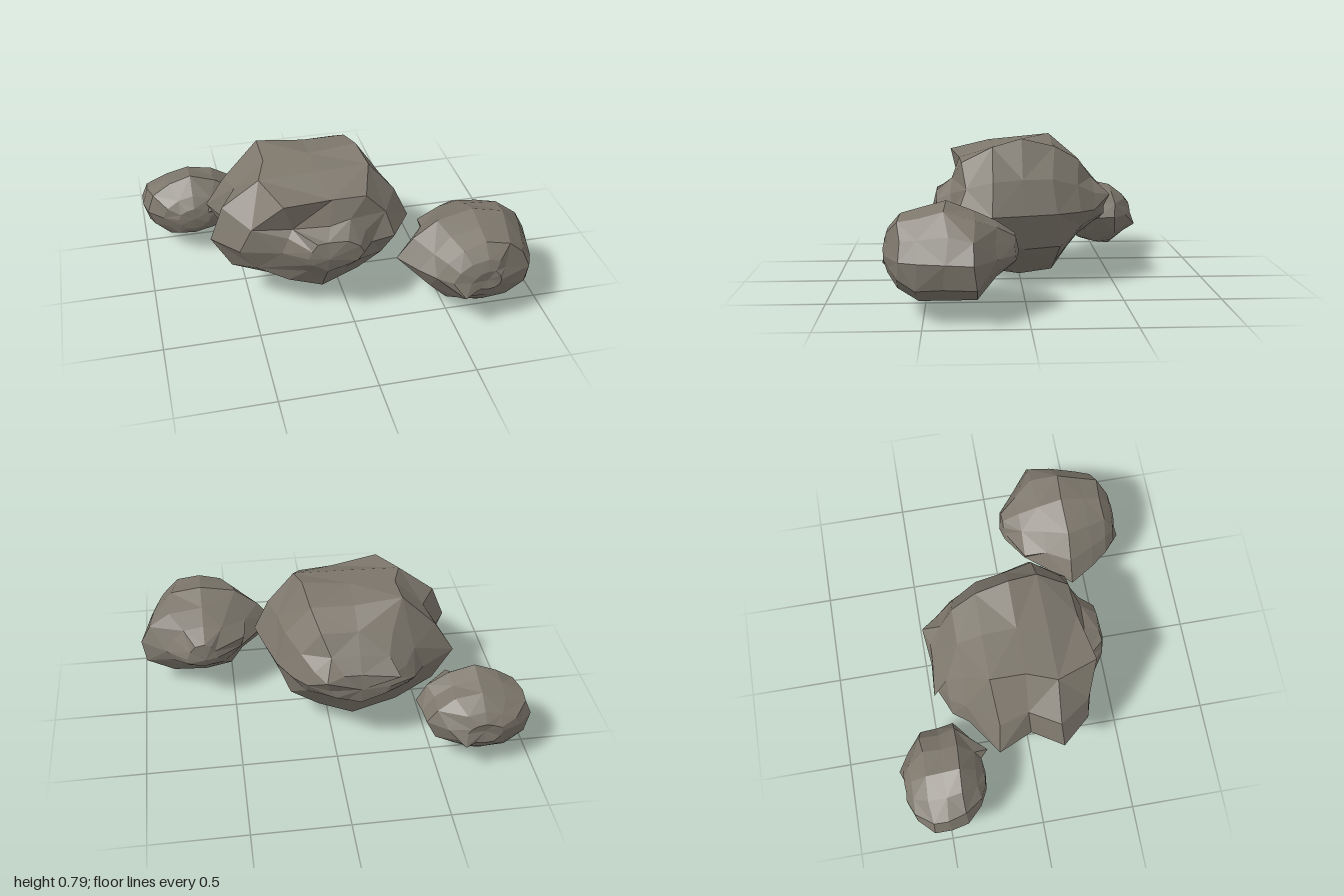
import * as THREE from 'three';

const SIDES = 12;
const material = new THREE.MeshStandardMaterial({ color: 0x7d776c, flatShading: true });

// Small seeded generator, returns -1..1
function seeded(seed) {
  let s = seed;
  return () => {
    s = (s * 16807) % 2147483647;
    return (s / 2147483647) * 2 - 1;
  };
}

// Faceted boulder lofted along z.
// rings: [z, xMin, xMax, yMin, yMax], outline: radius factor per 30 degrees,
// knobs: [ring, side, x, y, z] single corners that stick out or sink in
function boulder(name, { centre: [cx, cy], back, front, rings, outline, knobs, seed }) {
  const random = seeded(seed);
  const at = (i, j) => 1 + i * SIDES + (j % SIDES);
  const points = [[cx, cy, back]];
  for (const [z, xMin, xMax, yMin, yMax] of rings) {
    for (let j = 0; j < SIDES; j++) {
      const angle = (j / SIDES) * Math.PI * 2;
      const c = Math.cos(angle), s = Math.sin(angle);
      // the four axis directions stay exact, the rest is chipped
      const chip = j % 3 === 0 ? 0 : 1;
      const r = outline[j] * (1 + random() * 0.045 * chip);
      points.push([
        cx + c * r * (c > 0 ? xMax - cx : cx - xMin),
        cy + s * r * (s > 0 ? yMax - cy : cy - yMin),
        z + random() * 0.025 * (xMax - xMin) * chip,
      ]);
    }
  }
  points.push([cx, cy, front]);
  for (const [i, j, ...point] of knobs) points[at(i, j)] = point;

  const last = points.length - 1;
  const index = [];
  for (let j = 0; j < SIDES; j++) {
    index.push(0, at(0, j + 1), at(0, j));
    for (let i = 0; i < rings.length - 1; i++) {
      const a = at(i, j), b = at(i, j + 1), c = at(i + 1, j + 1), d = at(i + 1, j);
      // alternate the diagonal for an irregular, broken surface
      if ((i + j) % 2) index.push(a, b, c, a, c, d);
      else index.push(a, b, d, b, c, d);
    }
    index.push(last, at(rings.length - 1, j), at(rings.length - 1, j + 1));
  }

  const indexed = new THREE.BufferGeometry();
  indexed.setAttribute('position', new THREE.Float32BufferAttribute(points.flat(), 3));
  indexed.setIndex(index);
  const geometry = indexed.toNonIndexed();
  geometry.computeVertexNormals();
  const mesh = new THREE.Mesh(geometry, material);
  mesh.name = name;
  return mesh;
}

export function createModel() {
  const group = new THREE.Group();
  group.name = 'rocks';

  // Big rock in the middle, with a shelf broken out of its front
  group.add(boulder('largeRock', {
    centre: [-0.13, 0.41], back: -0.46, front: 0.475, seed: 71,
    rings: [
      [-0.45, -0.28, 0.03, 0.32, 0.5],
      [-0.39, -0.42, 0.14, 0.29, 0.58],
      [-0.31, -0.48, 0.21, 0.22, 0.68],
      [-0.18, -0.67, 0.28, 0.03, 0.76],
      [0, -0.59, 0.33, 0.005, 0.78],
      [0.16, -0.69, 0.37, 0.03, 0.76],
      [0.31, -0.56, 0.28, 0.13, 0.67],
      [0.37, -0.35, 0.12, 0.22, 0.58],
      [0.45, -0.23, 0.06, 0.32, 0.5],
    ],
    outline: [1, 1, 1.08, 0.95, 1.03, 0.97, 1, 0.95, 0.84, 1, 0.87, 0.92],
    knobs: [
      [0, 4, -0.33, 0.48, -0.47], [0, 1, 0.05, 0.48, -0.48],
      [4, 2, 0.12, 0.79, 0], [3, 4, -0.38, 0.77, -0.18],
      [6, 4, -0.34, 0.69, 0.38], [6, 3, -0.08, 0.67, 0.33], [6, 0, 0.25, 0.41, 0.34],
      [7, 4, -0.29, 0.53, 0.34], [7, 3, -0.1, 0.54, 0.37],
    ],
  }));

  // Medium rock on the left, towards the front
  group.add(boulder('mediumRock', {
    centre: [0.65, 0.3], back: 0.04, front: 0.68, seed: 1234,
    rings: [
      [0.06, 0.58, 0.75, 0.25, 0.39],
      [0.15, 0.45, 0.86, 0.19, 0.45],
      [0.26, 0.36, 1, 0.08, 0.5],
      [0.39, 0.25, 0.97, 0.065, 0.55],
      [0.52, 0.33, 0.94, 0.06, 0.515],
      [0.61, 0.4, 0.9, 0.13, 0.49],
      [0.67, 0.47, 0.77, 0.2, 0.42],
      [0.69, 0.56, 0.72, 0.25, 0.36],
    ],
    outline: [1, 0.95, 1.05, 1, 0.96, 0.9, 1, 0.88, 1, 1, 1.03, 1.05],
    knobs: [[6, 7, 0.53, 0.22, 0.71], [1, 5, 0.43, 0.36, 0.15]],
  }));

  // Small rock on the right, towards the back
  group.add(boulder('smallRock', {
    centre: [-0.73, 0.26], back: -0.69, front: -0.27, seed: 555,
    rings: [
      [-0.7, -0.82, -0.64, 0.19, 0.31],
      [-0.66, -0.92, -0.55, 0.13, 0.36],
      [-0.58, -1, -0.45, 0.055, 0.42],
      [-0.49, -1, -0.445, 0.065, 0.44],
      [-0.4, -0.98, -0.43, 0.09, 0.465],
      [-0.32, -0.9, -0.53, 0.14, 0.38],
      [-0.28, -0.82, -0.64, 0.19, 0.32],
    ],
    outline: [1, 0.95, 0.94, 1, 0.94, 1, 1, 1.02, 1.05, 1, 0.97, 0.92],
    knobs: [[0, 11, -0.63, 0.19, -0.725], [5, 1, -0.62, 0.32, -0.24]],
  }));

  return group;
}
